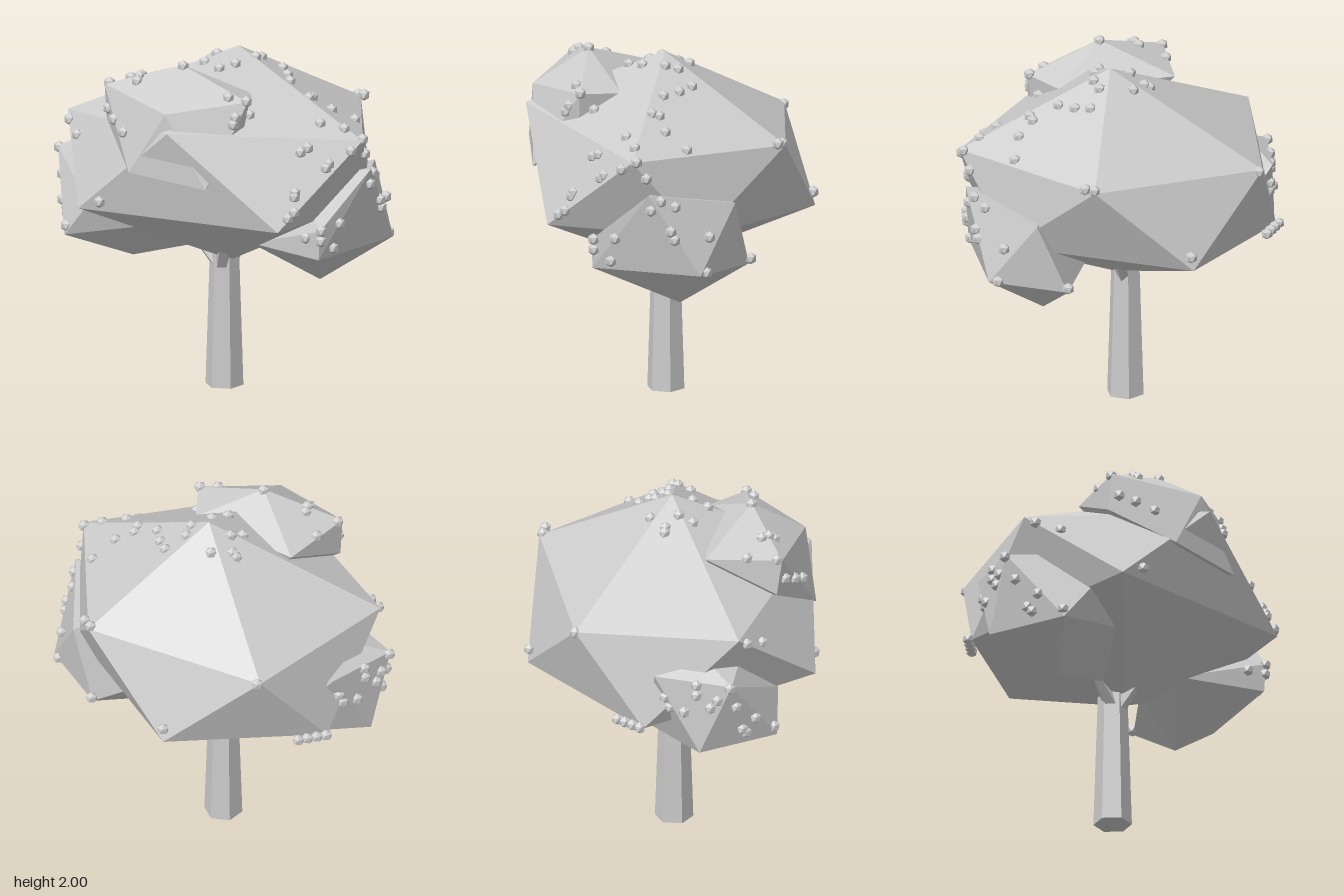
import * as THREE from 'three';
import { ConvexGeometry } from 'three/addons/geometries/ConvexGeometry.js';

const material = new THREE.MeshStandardMaterial({ color: 0xcccccc, flatShading: true });

export function createModel() {
  const tree = new THREE.Group();
  tree.name = 'fruitTree';

  const add = (name, geometry, parent = tree) => {
    const mesh = new THREE.Mesh(geometry, material);
    mesh.name = name;
    parent.add(mesh);
    return mesh;
  };

  // Foliage clumps: faceted hulls around a few corners
  const clump = (name, corners) =>
    add(name, new ConvexGeometry(corners.map((c) => new THREE.Vector3(...c))));

  const foliage = [
    clump('mainCrown', [
      [0.05, 1.99, -0.03],
      [-0.82, 1.55, 0.43], [0.19, 1.67, 0.74], [0.92, 1.59, -0.09], [0.28, 1.57, -0.8], [-0.73, 1.51, -0.5],
      [-0.4, 1.14, 0.82], [0.76, 1.14, 0.45], [0.7, 1.12, -0.42], [-0.28, 1.06, -0.81], [-0.88, 1, -0.1],
      [0.02, 0.74, 0],
    ]),
    clump('upperFrontClump', [
      [0.03, 1.97, 0.42], [-0.37, 1.83, 0.63], [-0.36, 1.81, 0.2], [0.08, 1.8, 0.2], [0.3, 1.8, 0.15],
      [0.45, 1.82, 0.35], [0.43, 1.65, 0.36], [0.15, 1.77, 0.71], [-0.38, 1.62, 0.6],
      [-0.05, 1.41, 0.79], [0.39, 1.36, 0.64], [0, 1.4, 0.3],
    ]),
    clump('leftClump', [
      [0.47, 0.66, -0.24], [0.82, 0.93, 0.17], [0.82, 0.93, -0.46], [0.9, 1.4, -0.18], [0.83, 1.1, 0.17],
      [0.57, 1.3, -0.59], [0.4, 0.9, -0.62], [0.29, 0.92, 0.14], [0.2, 0.9, -0.15], [0.4, 1.3, -0.1],
    ]),
    clump('rightClump', [
      [-0.5, 0.72, 0.24], [-0.93, 0.89, 0.22], [-0.67, 0.89, 0.63], [-0.5, 1.1, 0.62],
      [-0.7, 1.35, 0.42], [-0.78, 1.39, 0.25], [-0.92, 1.31, 0.4], [-0.87, 1.33, -0.04],
      [-0.5, 0.82, -0.1], [-0.17, 1, 0.42], [-0.16, 0.82, 0.1],
    ]),
  ];

  // Six-sided tapered trunk
  const trunk = add('trunk', new THREE.CylinderGeometry(0.083, 0.108, 0.8, 6));
  trunk.position.set(-0.04, 0.4, -0.01);

  // Short branches reaching into the foliage
  const branch = (name, from, to) => {
    const a = new THREE.Vector3(...from), b = new THREE.Vector3(...to);
    const mesh = add(name, new THREE.CylinderGeometry(0.025, 0.045, a.distanceTo(b), 5));
    mesh.position.copy(a).lerp(b, 0.5);
    mesh.quaternion.setFromUnitVectors(new THREE.Vector3(0, 1, 0), b.sub(a).normalize());
  };
  branch('rightBranch', [-0.06, 0.72, 0.02], [-0.22, 0.9, 0.08]);
  branch('leftBranch', [-0.02, 0.72, 0.03], [0.09, 0.92, 0.14]);
  branch('backBranch', [-0.03, 0.72, -0.04], [0.05, 0.92, -0.18]);

  // Fruit: small icosahedra, one corner up, sitting on the foliage
  const fruits = new THREE.Group();
  fruits.name = 'fruits';
  tree.add(fruits);
  const fruitShape = new THREE.IcosahedronGeometry(0.035).rotateX(-1.017);
  const addFruit = (x, y, z) =>
    add('fruit', fruitShape, fruits).position.set(x, Math.min(y, 1.965), z);

  // Drop fruit onto the first surface met from one side
  tree.updateMatrixWorld(true);
  const scatter = (spots, toStart, direction) => {
    for (const [a, b] of spots) {
      const ray = new THREE.Raycaster(new THREE.Vector3(...toStart(a, b)), new THREE.Vector3(...direction));
      const hit = ray.intersectObjects(foliage)[0];
      if (hit) addFruit(hit.point.x, hit.point.y, hit.point.z);
    }
  };

  // Fruit on top: x, z
  scatter([
    [-0.06, -0.14], [-0.17, -0.05], [-0.14, -0.05], [-0.07, 0.02], [-0.09, 0.1], [0.08, 0.17], [0.12, 0.08],
    [0.13, -0.13], [0.15, -0.06], [0.2, -0.23], [0.28, -0.18], [0.36, -0.11], [0.51, -0.13], [0.52, -0.09],
    [0.6, -0.19], [0.65, -0.33], [0.69, 0.01], [0.8, -0.07], [0.73, 0.16], [0.71, 0.2], [-0.35, 0.43],
    [0.03, 0.42], [0.4, 0.28], [0.44, 0.35], [0.35, 0.4], [0.42, 0.44], [-0.21, 0.5], [-0.19, 0.54],
    [-0.18, 0.57], [-0.36, 0.6],
  ], (x, z) => [x, 5, z], [0, -1, 0]);

  // Fruit on the left side: z, y
  scatter([
    [0.16, 1.1], [0.16, 1.04], [0.03, 1.12], [0.06, 0.98], [-0.19, 1.31], [-0.24, 1.36], [-0.31, 1.32],
    [-0.3, 1.19], [-0.32, 1.14], [-0.48, 0.94], [0.3, 1.34], [0.31, 1.32], [0.38, 1.21], [0.34, 1.24],
    [0.1, 1.48], [0.12, 1.46], [-0.02, 1.54], [-0.16, 1.49], [-0.11, 1.59],
  ], (z, y) => [5, y, z], [-1, 0, 0]);

  // Fruit on the right side: z, y
  scatter([
    [0.02, 1.2], [0.2, 1.24], [0.05, 1.14], [0.13, 1.13], [0.28, 1.17], [0.2, 1.3], [0.32, 1.22], [0.39, 1.3],
  ], (z, y) => [-5, y, z], [1, 0, 0]);

  // Fruit on the front: x, y
  scatter([
    [-0.77, 1.51], [-0.65, 1.46], [-0.87, 1.16], [-0.78, 1.05], [-0.81, 0.99], [-0.79, 0.96], [-0.67, 0.94],
    [-0.33, 1.7], [-0.25, 1.66], [-0.15, 1.61], [0.42, 1.74], [0.72, 1.04],
  ], (x, y) => [x, y, 5], [0, 0, -1]);

  // Fruit at outer corners and along the lower right edge
  for (const p of [
    [-0.27, 1.14, -0.8], [0.28, 1.58, -0.78], [0.33, 1.59, -0.77], [-0.71, 1.5, -0.5], [-0.26, 1.2, 0.8],
    [0.74, 1.14, -0.49], [0.4, 0.93, -0.63],
  ]) addFruit(...p);
  for (let i = 0; i < 4; i++) addFruit(-0.89 + i * 0.03, 1.01, -0.12 - i * 0.045);

  return tree;
}
